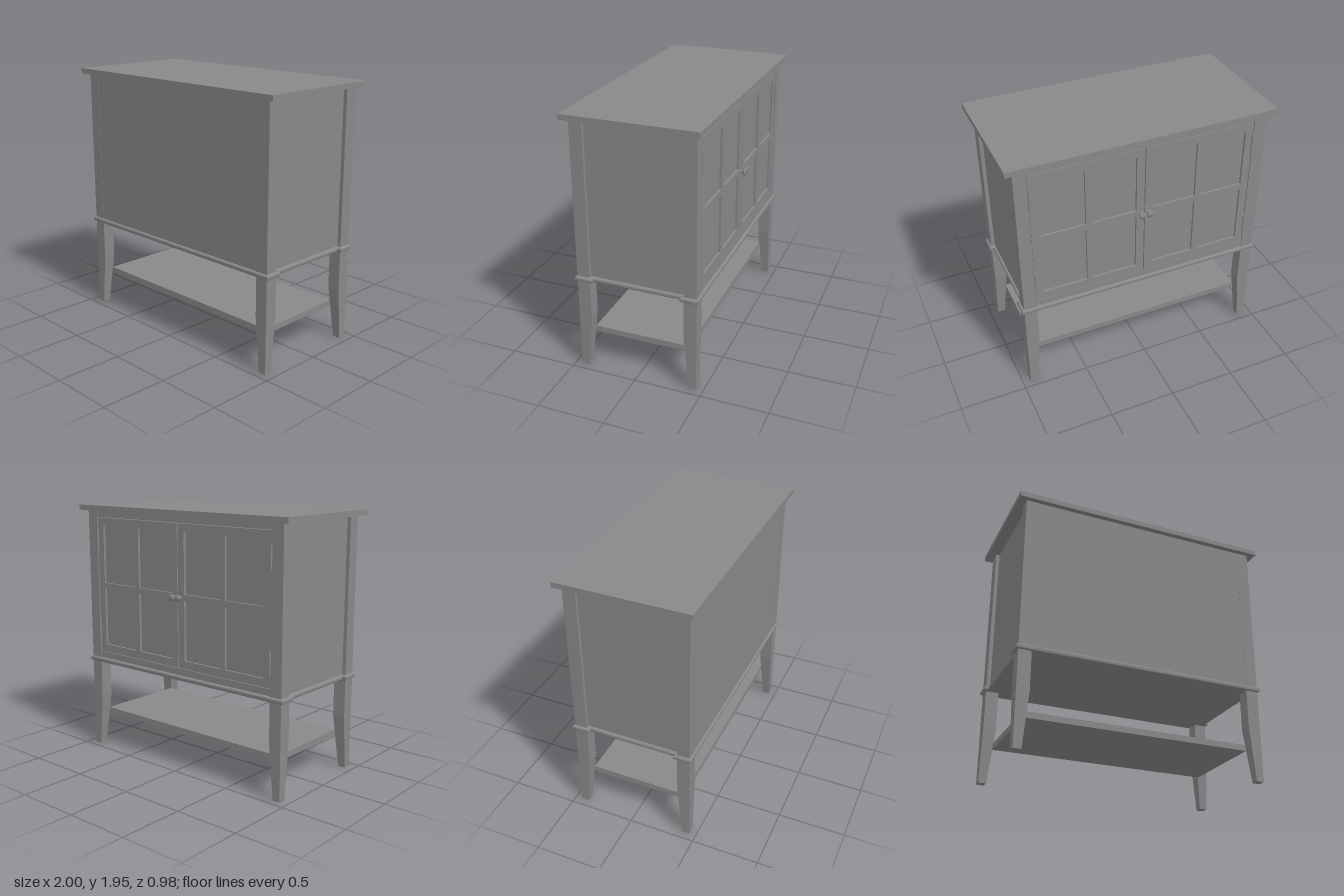
import * as THREE from 'three';
import { toCreasedNormals } from 'three/addons/utils/BufferGeometryUtils.js';

export function createModel() {
  const model = new THREE.Group();
  model.name = 'cabinet';
  const grey = new THREE.MeshStandardMaterial({ color: 0x888888 });
  grey.name = 'grey paint';

  const add = (name, geometry, x = 0, y = 0, z = 0, parent = model) => {
    const mesh = new THREE.Mesh(geometry, grey);
    mesh.name = name;
    mesh.position.set(x, y, z);
    parent.add(mesh);
    return mesh;
  };
  // Box given by its minimum and maximum corners
  const block = (name, [x0, y0, z0], [x1, y1, z1], parent) =>
    add(name, new THREE.BoxGeometry(x1 - x0, y1 - y0, z1 - z0),
      (x0 + x1) / 2, (y0 + y1) / 2, (z0 + z1) / 2, parent);

  // Table top and lower shelf
  block('top', [-1, 1.91, -0.49], [1, 1.95, 0.49]);
  block('shelf', [-0.86, 0.25, -0.365], [0.86, 0.295, 0.365]);

  // Corner posts: square above, the two inner faces tapering to the foot
  const W = 0.095, H = 1.91, KNEE = 0.41, TAPER = 0.036;
  function postGeometry(sx, sz) {
    const g = new THREE.BoxGeometry(W, H, W, 1, 2, 1).toNonIndexed();
    const p = g.attributes.position;
    for (let i = 0; i < p.count; i++) {
      const level = Math.round((p.getY(i) / H + 0.5) * 2); // 0 foot, 1 knee, 2 top
      const inset = level === 0 ? TAPER : 0;
      const x = p.getX(i), z = p.getZ(i);
      p.setXYZ(i,
        x * sx < 0 ? x + sx * inset : x,
        [0, KNEE, H][level],
        z * sz < 0 ? z + sz * inset : z);
    }
    g.computeVertexNormals();
    return g;
  }
  for (const sx of [-1, 1]) {
    for (const sz of [-1, 1]) {
      add('cornerPost', postGeometry(sx, sz), sx * (0.94 - W / 2), 0, sz * (0.45 - W / 2));
    }
  }

  // Cabinet floor with a rounded bead that steps around the posts
  const outline = [[0.94, 0.445], [0.94, 0.35], [0.912, 0.35]];
  const half = [...outline, ...outline.map(([x, z]) => [x, -z]).reverse()];
  const ring = [...half, ...half.map(([x, z]) => [-x, -z])];
  const bead = new THREE.ExtrudeGeometry(
    new THREE.Shape(ring.map(([x, z]) => new THREE.Vector2(x, z))),
    { depth: 0.002, bevelEnabled: true, bevelThickness: 0.019, bevelSize: 0.019, bevelSegments: 6 });
  bead.rotateX(-Math.PI / 2);
  add('floorBead', toCreasedNormals(bead, 0.7), 0, 0.719, 0);

  // Plain front panel, recessed sides, and rails around the doors
  block('plainPanel', [-0.845, 0.73, 0.42], [0.845, 1.91, 0.448]);
  for (const s of [-1, 1]) {
    add('sidePanel', new THREE.BoxGeometry(0.03, 1.18, 0.71), s * 0.897, 1.32, 0);
  }
  block('topRail', [-0.845, 1.86, -0.444], [0.845, 1.91, -0.41]);
  block('bottomRail', [-0.845, 0.73, -0.444], [0.845, 0.79, -0.41]);

  // Doors: a frame with four openings over a recessed panel
  const rect = (Type, x0, y0, x1, y1) => new Type(
    [[x0, y0], [x1, y0], [x1, y1], [x0, y1]].map(([x, y]) => new THREE.Vector2(x, y)));
  const DW = 0.838, DH = 1.062, STILE = 0.06, BAR = 0.046;
  const frameShape = rect(THREE.Shape, -DW / 2, -DH / 2, DW / 2, DH / 2);
  for (const sx of [-1, 1]) {
    for (const sy of [-1, 1]) {
      frameShape.holes.push(rect(THREE.Path,
        sx * BAR / 2, sy * BAR / 2, sx * (DW / 2 - STILE), sy * (DH / 2 - STILE)));
    }
  }
  const frame = new THREE.ExtrudeGeometry(frameShape, { depth: 0.03, bevelEnabled: false });

  // Knob profile, turned to point backwards (-z)
  const knob = new THREE.LatheGeometry(
    [[0.014, 0], [0.01, 0.008], [0.008, 0.02], [0.02, 0.026], [0.027, 0.034],
      [0.025, 0.042], [0.015, 0.047], [0, 0.049]].map(([r, y]) => new THREE.Vector2(r, y)), 24);
  knob.rotateX(-Math.PI / 2);
  const hinge = new THREE.CylinderGeometry(0.009, 0.009, 0.165, 16);

  for (const s of [-1, 1]) {
    const door = new THREE.Group();
    door.name = s > 0 ? 'leftDoor' : 'rightDoor';
    door.position.set(s * 0.4225, 1.325, 0);
    model.add(door);
    add('doorFrame', frame, 0, 0, -0.445, door);
    add('doorPanel', new THREE.BoxGeometry(DW - 0.02, DH - 0.02, 0.012), 0, 0, -0.421, door);
    add('knob', knob, s * (0.03 - 0.4225), -0.003, -0.443, door);
    for (const y of [-0.355, 0.36]) add('hinge', hinge, s * 0.418, y, -0.451, door);
  }

  return model;
}
